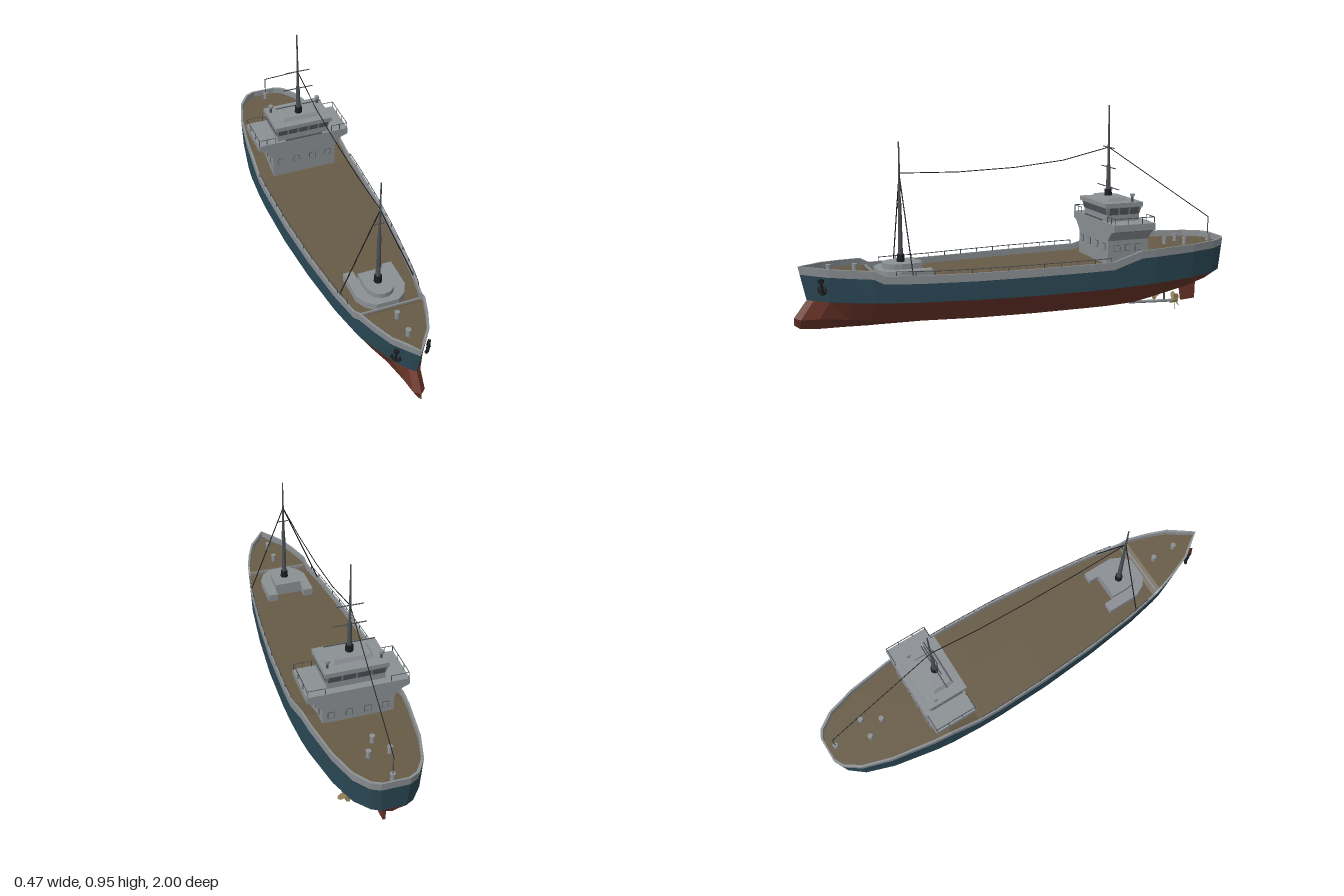
import * as THREE from 'three';

const mat = (name, color, side = THREE.FrontSide) => {
  const m = new THREE.MeshStandardMaterial({ color, side });
  m.name = name;
  return m;
};
const grey = mat('light grey paint', 0x8b9094), blue = mat('blue topsides', 0x2b4855);
const red = mat('red bottom paint', 0x6a3429), brown = mat('brown deck', 0x675b46);
const steel = mat('mast steel', 0x4c5156), black = mat('black iron', 0x1b1c20);
const bronze = mat('bronze', 0x8f7d55, THREE.DoubleSide), glass = mat('window grey', 0x565c62);

const V = (x, y, z) => new THREE.Vector3(x, y, z);
function add(parent, name, geo, material, x = 0, y = 0, z = 0) {
  const m = new THREE.Mesh(geo, material);
  m.name = name;
  m.position.set(x, y, z);
  parent.add(m);
  return m;
}
const box = (w, h, d) => new THREE.BoxGeometry(w, h, d);
const cyl = (r0, r1, h, n = 10) => new THREE.CylinderGeometry(r0, r1, h, n);
// Straight round bar between two points
function bar(parent, name, a, b, r, material, n = 5) {
  const m = add(parent, name, cyl(r, r, a.distanceTo(b), n), material);
  m.position.copy(a).add(b).multiplyScalar(0.5);
  m.quaternion.setFromUnitVectors(V(0, 1, 0), b.clone().sub(a).normalize());
  return m;
}
// Box whose top face is scaled
function taperBox(w, h, d, sx, sz) {
  const g = box(w, h, d), p = g.attributes.position;
  for (let i = 0; i < p.count; i++)
    if (p.getY(i) > 0) p.setXYZ(i, p.getX(i) * sx, p.getY(i), p.getZ(i) * sz);
  g.computeVertexNormals();
  return g;
}
// Flat-shaded, mirrored skin between an upper and a lower line
function strip(parent, name, material, up, low) {
  const pos = [];
  const tri = (a, b, c) => {
    pos.push(...a.toArray(), ...b.toArray(), ...c.toArray());
    for (const v of [a, c, b]) pos.push(-v.x, v.y, v.z);
  };
  for (let i = 0; i < up.length - 1; i++) {
    tri(up[i], low[i], low[i + 1]);
    tri(up[i], low[i + 1], up[i + 1]);
  }
  const g = new THREE.BufferGeometry();
  g.setAttribute('position', new THREE.Float32BufferAttribute(pos, 3));
  g.computeVertexNormals();
  add(parent, name, g, material);
}
function lerpTable(t, z) {
  for (let i = 0; i < t.length - 1; i++) {
    const [z0, y0] = t[i], [z1, y1] = t[i + 1];
    if (z >= z1) return y0 + (y1 - y0) * (z0 - z) / (z0 - z1);
  }
  return t[t.length - 1][1];
}
const SHEER = [[1, .32], [.69, .305], [.65, .283], [.4, .276], [-.36, .28], [-.5, .32], [-1, .325]];
const sheer = z => lerpTable(SHEER, z);
// Stations: zTop, zWater, zKeel, xTop, xWater, xBilge, yBilge, yKeel
const STATIONS = [
  [.978, .945, 1, 0, 0, 0, .1, .07],
  [.93, .92, .975, .037, .024, .025, .095, .052],
  [.87, .86, .9, .082, .065, .035, .095, .045],
  [.78, .77, .78, .118, .104, .055, .087, .043],
  [.69, .69, .69, .146, .135, .08, .08, .04],
  [.65, .65, .65, .153, .145, .09, .078, .04],
  [.5, .5, .5, .18, .175, .12, .072, .038],
  [.25, .25, .25, .208, .206, .145, .068, .036],
  [0, 0, 0, .226, .226, .155, .066, .035],
  [-.25, -.25, -.25, .233, .233, .157, .066, .035],
  [-.36, -.36, -.36, .232, .232, .155, .066, .035],
  [-.5, -.5, -.5, .225, .225, .145, .069, .037],
  [-.58, -.58, -.58, .218, .216, .135, .08, .05],
  [-.78, -.78, -.78, .187, .18, .11, .112, .09],
  [-.91, -.905, -.9, .148, .138, .08, .135, .12],
  [-.98, -.968, -.955, .1, .088, .05, .147, .135],
  [-1, -.988, -.97, .06, .052, .03, .15, .14],
  [-1, -.988, -.97, 0, 0, 0, .15, .14],
];
function beamAt(z) { return lerpTable(STATIONS.map(s => [s[0], s[3]]), z); }

function buildHull(root) {
  const hull = new THREE.Group();
  hull.name = 'hull';
  root.add(hull);
  const top = STATIONS.map(s => V(s[3], sheer(s[0]), s[0]));
  const water = STATIONS.map(s => V(s[4], .16 + .015 * s[0] * s[0], s[1]));
  const band = top.map((p, i) => p.clone().lerp(water[i], .035 / (p.y - water[i].y)));
  const bilge = STATIONS.map(s => V(s[5], s[6], s[2]));
  const keel = STATIONS.map(s => V(0, s[7], s[2]));
  const inner = top.map(p => V(Math.max(0, p.x - .008), p.y, p.z * .992));
  const edge = inner.map(p => V(p.x, p.y - .028, p.z));
  strip(hull, 'bulwark', grey, top, band);
  strip(hull, 'bulwarkCap', grey, inner, top);
  strip(hull, 'bulwarkInside', grey, edge, inner);
  strip(hull, 'topsides', blue, band, water);
  strip(hull, 'bottomSides', red, water, bilge);
  strip(hull, 'bottom', red, bilge, keel);
  strip(hull, 'deck', brown, edge.map(p => V(0, p.y, p.z)), edge);

  // Rudder, shafts and propellers
  const rudder = add(hull, 'rudder', taperBox(.012, .115, .07, 1, 1.3), red, 0, .0775, -.855);
  rudder.rotation.x = .06;
  const blade = new THREE.Shape();
  blade.moveTo(-.004, 0);
  blade.bezierCurveTo(-.02, .02, -.014, .044, 0, .045);
  blade.bezierCurveTo(.014, .044, .016, .02, .004, 0);
  for (const s of [-1, 1]) {
    const drive = new THREE.Group();
    drive.name = 'propellerDrive';
    drive.position.set(s * .1, .046, 0);
    hull.add(drive);
    bar(drive, 'shaft', V(0, .012, -.5), V(0, 0, -.75), .007, grey, 8);
    bar(drive, 'shaftBracket', V(0, 0, -.68), V(0, .06, -.68), .005, steel);
    add(drive, 'hub', cyl(.011, .008, .03, 8), bronze, 0, 0, -.735).rotation.x = Math.PI / 2;
    for (let i = 0; i < 5; i++) {
      const pivot = new THREE.Group();
      pivot.name = 'bladePivot';
      pivot.position.z = -.735;
      pivot.rotation.z = Math.PI + i * Math.PI * .4;
      add(pivot, 'propellerBlade', new THREE.ShapeGeometry(blade, 6), bronze).rotation.y = s * .6;
      drive.add(pivot);
    }
    // Bow anchors
    const anchor = new THREE.Group();
    anchor.name = 'anchor';
    anchor.position.set(s * .069, .238, .893);
    anchor.rotation.set(.1, s * .8, 0);
    hull.add(anchor);
    add(anchor, 'anchorShank', box(.009, .065, .012), black, 0, .003, 0);
    add(anchor, 'anchorArms', new THREE.TorusGeometry(.017, .005, 5, 10, Math.PI), black, 0, -.013, 0).rotation.z = Math.PI;
    add(anchor, 'anchorHead', box(.022, .012, .012), black, 0, .026, 0);
    for (const k of [-1, 1]) add(anchor, 'anchorFluke', new THREE.ConeGeometry(.008, .026, 4), black, k * .017, -.004, 0);
  }
}

// Posts and a top wire along a path
function railing(parent, pts, h, posts = true) {
  const up = pts.map(p => V(p.x, p.y + h, p.z));
  pts.forEach((p, i) => {
    if (posts) bar(parent, 'railPost', p, up[i], .0018, steel, 4);
    if (i) bar(parent, 'rail', up[i - 1], up[i], .0018, steel, 4);
  });
}

function buildHouse(root) {
  const house = new THREE.Group();
  house.name = 'deckhouse';
  root.add(house);
  // Lower house flaring out into the bridge wings
  const half = [[.155, .25], [.155, .36], [.166, .375], [.19, .4], [.22, .41], [.22, .44]];
  const shape = new THREE.Shape([...half, ...half.map(([x, y]) => [-x, y]).reverse()].map(p => new THREE.Vector2(...p)));
  add(house, 'lowerHouse', new THREE.ExtrudeGeometry(shape, { depth: .2, bevelEnabled: false }), grey, 0, 0, -.563);
  for (const x of [-.117, -.04, .04, .117]) for (const z of [-.3625, -.5635]) {
    add(house, 'windowFrame', box(.03, .03, .004), steel, x, .33, z);
    add(house, 'windowPane', box(.026, .026, .007), grey, x, .33, z);
  }
  for (const s of [-1, 1]) {
    for (const z of [-.41, -.46, -.51]) {
      add(house, 'sideFrame', box(.004, .03, .028), steel, s * .1555, .325, z);
      add(house, 'sidePane', box(.007, .026, .024), grey, s * .1555, .325, z);
    }
    railing(house, [V(s * .14, .44, -.367), V(s * .18, .44, -.367), V(s * .217, .44, -.367), V(s * .217, .44, -.43),
      V(s * .217, .44, -.5), V(s * .217, .44, -.559), V(s * .14, .44, -.559)], .028);
    // Searchlights
    add(house, 'lampPost', cyl(.005, .006, .035, 8), steel, s * .115, .537, -.5);
    add(house, 'lamp', cyl(.011, .011, .012, 8), grey, s * .115, .554, -.5);
  }
  // Wheelhouse with outward-leaning windows
  add(house, 'wheelhouseWall', box(.25, .035, .155), grey, 0, .4525, -.452);
  add(house, 'wheelhouseWindowBand', taperBox(.25, .038, .155, 1.08, 1.12), grey, 0, .487, -.452);
  add(house, 'wheelhouseRoof', box(.275, .02, .185), grey, 0, .514, -.45);
  add(house, 'roofTrunk', taperBox(.18, .018, .1, .88, .8), grey, 0, .532, -.443);
  add(house, 'bridgeSill', box(.18, .005, .006), steel, 0, .446, -.362);
  for (const [turn, dist, width, n] of [[0, .083, .25, 5], [1, .131, .15, 3], [2, .083, .25, 4], [3, .131, .15, 3]]) {
    const side = new THREE.Group();
    side.name = 'wheelhouseWindows';
    side.position.set(0, .487, -.452);
    side.rotation.y = turn * Math.PI / 2;
    house.add(side);
    for (let i = 0; i < n; i++) {
      const pane = add(side, 'wheelhousePane', box(width / n - .008, .032, .005), glass, (i + .5) * width / n - width / 2, 0, dist);
      pane.rotation.x = .25;
    }
  }
}

function buildForedeck(root) {
  // Stepped mast platform
  const half = [[.065, -.47], [.065, -.425], [.11, -.425], [.11, -.57], [.085, -.62], [.05, -.648]];
  const plan = new THREE.Shape([...half, ...half.map(([x, y]) => [-x, y]).reverse()].map(p => new THREE.Vector2(...p)));
  const upper = new THREE.Shape();
  upper.moveTo(.062, -.47);
  upper.lineTo(.062, -.55);
  upper.bezierCurveTo(.06, -.645, -.06, -.645, -.062, -.55);
  upper.lineTo(-.062, -.47);
  const slab = (name, s, h, y) => {
    add(root, name, new THREE.ExtrudeGeometry(s, { depth: h, bevelEnabled: false, curveSegments: 8 }), grey, 0, y, 0).rotation.x = -Math.PI / 2;
  };
  slab('mastPlatform', plan, .05, .235);
  slab('mastHouse', upper, .025, .283);
  add(root, 'breakwater', box(.27, .03, .006), grey, 0, .262, .664);
  // Bollards: x, z
  for (const [x, z] of [[0, .74], [0, .85], [-.045, -.81], [.045, -.81], [0, -.73], [0, -.96]]) {
    const y = sheer(z) - .028;
    add(root, 'bollard', cyl(.009, .011, .028, 8), grey, x, y + .014, z);
    add(root, 'bollardCap', cyl(.012, .012, .007, 8), grey, x, y + .03, z);
  }
  for (const s of [-1, 1]) {
    const pts = [];
    for (let z = .6; z > -.36; z -= .079) pts.push(V(s * (beamAt(z) - .004), sheer(z), z));
    railing(root, pts, .018);
  }
}

function buildMast(root, name, z, base, top, split) {
  const mast = new THREE.Group();
  mast.name = name;
  root.add(mast);
  add(mast, 'mastFoot', cyl(.016, .018, .04, 10), black, 0, base + .015, z);
  add(mast, 'lowerMast', cyl(.008, .011, split - base, 10), steel, 0, (base + split) / 2, z);
  add(mast, 'topMast', cyl(.003, .006, top - split, 8), steel, 0, (split + top) / 2, z);
  return mast;
}

export function createModel() {
  const root = new THREE.Group();
  root.name = 'coastalShip';
  buildHull(root);
  buildHouse(root);
  buildForedeck(root);

  const fore = buildMast(root, 'foremast', .54, .305, .82, .56);
  const main = buildMast(root, 'mainmast', -.435, .535, .95, .68);
  for (const [y, w] of [[.76, .058], [.67, .072], [.58, .11]])
    bar(main, 'crossbar', V(-w, y, -.435), V(w, y, -.435), .0025, steel);
  bar(fore, 'crossbar', V(-.024, .615, .54), V(.024, .615, .54), .0025, steel);
  // Rigging
  for (const s of [-1, 1]) bar(fore, 'stay', V(0, .685, .54), V(s * .167, .275, .53), .0025, black);
  const wire = [V(0, .687, .54), V(0, .68, .28), V(0, .688, .02), V(0, .71, -.21), V(0, .76, -.435), V(0, .41, -.96)];
  for (let i = 1; i < wire.length; i++) bar(root, 'aerialWire', wire[i - 1], wire[i], .002, black);
  bar(root, 'sternPole', V(0, .29, -.96), V(0, .412, -.96), .0025, steel);
  return root;
}
